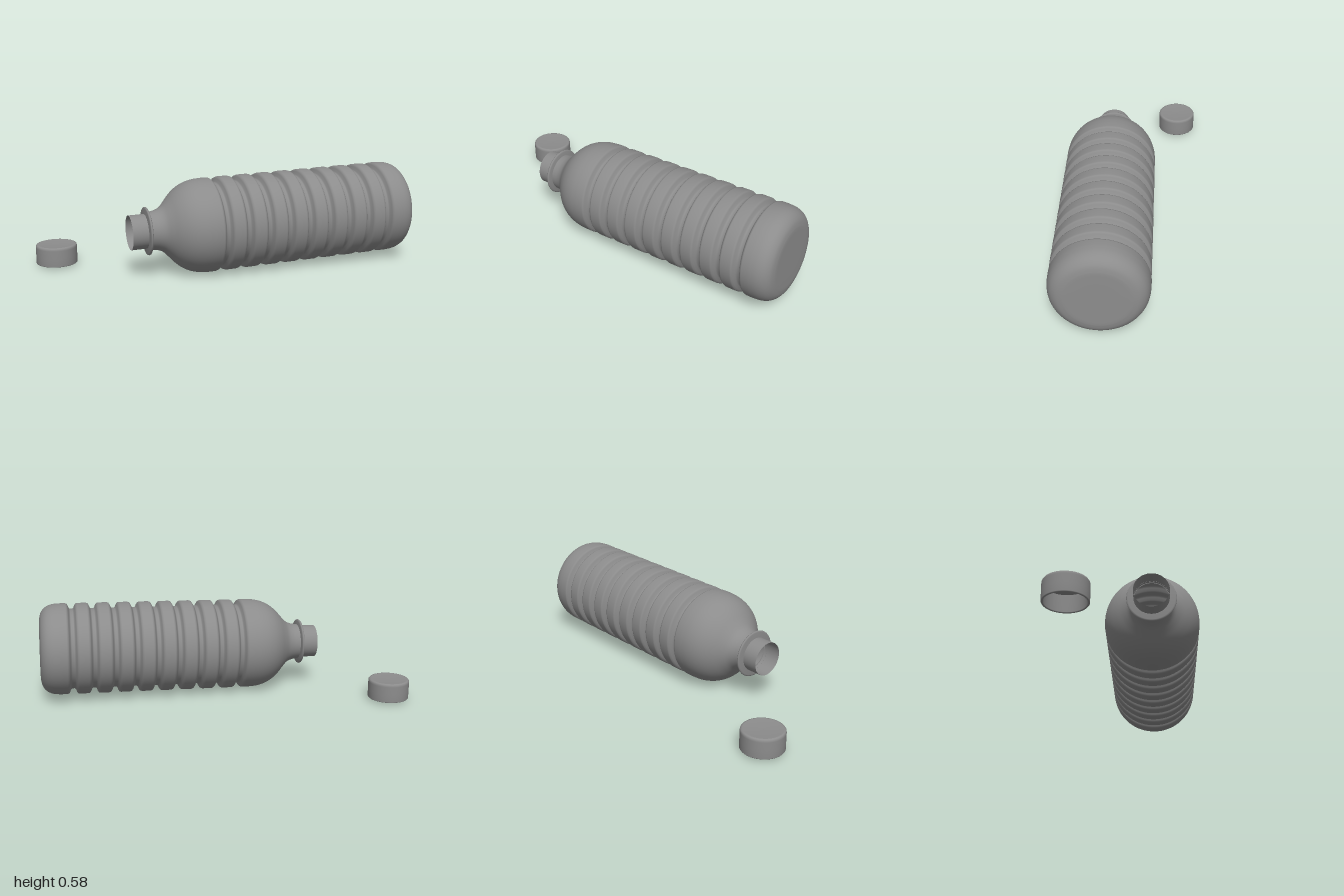
import * as THREE from 'three';

const v2 = (x, y) => new THREE.Vector2(x, y);

// Smooth curve through [radius, height] pairs
const smooth = (pts, n) => new THREE.SplineCurve(pts.map(p => v2(...p))).getPoints(n);

export function createModel() {
  const model = new THREE.Group();
  const grey = new THREE.MeshStandardMaterial({ color: 0x8c8c8c, side: THREE.DoubleSide });
  grey.name = 'grey plastic';

  const lathe = (name, points, parent) => {
    const mesh = new THREE.Mesh(new THREE.LatheGeometry(points, 72), grey);
    mesh.name = name;
    parent.add(mesh);
  };

  // Bottle lies on its side; local y runs from base to mouth
  const bottle = new THREE.Group();
  bottle.name = 'bottle';
  const axis = new THREE.Vector3(-0.36, -0.0215, 0.933).normalize();
  bottle.quaternion.setFromUnitVectors(new THREE.Vector3(0, 1, 0), axis);
  bottle.position.set(0.52, 0.307, -0.93);
  model.add(bottle);

  // Flat base with a rounded edge
  const R = 0.279;
  const body = [v2(0, 0), v2(0.1, 0), v2(0.165, 0)];
  body.push(...smooth([[0.185, 0.001], [0.225, 0.011], [0.257, 0.037], [0.274, 0.075], [R, 0.12]], 16));

  // Ring grooves along the barrel
  const grooves = 9, first = 0.195, pitch = 0.1275;
  const groove = [[0, -0.036], [0.003, -0.027], [0.012, -0.021], [0.028, -0.015], [0.034, -0.008],
    [0.034, 0.008], [0.028, 0.015], [0.012, 0.021], [0.003, 0.027], [0, 0.036]];
  for (let i = 0; i < grooves; i++) {
    for (const [depth, dy] of groove) body.push(v2(R - depth, first + i * pitch + dy));
  }

  // Domed shoulder flowing into the neck
  body.push(...smooth([[R, 1.29], [0.275, 1.34], [0.262, 1.39], [0.239, 1.435], [0.206, 1.475],
    [0.165, 1.512], [0.134, 1.543], [0.118, 1.575], [0.112, 1.605], [0.11, 1.63]], 36));
  lathe('bottleBody', body, bottle);

  // Open mouth
  lathe('neck', [v2(0.101, 1.625), v2(0.101, 1.735)], bottle);

  // Thin collar around the neck
  lathe('neckCollar', [v2(0.1, 1.62), v2(0.132, 1.625), v2(0.139, 1.628), v2(0.141, 1.633),
    v2(0.139, 1.638), v2(0.132, 1.64), v2(0.1, 1.643)], bottle);

  // Screw cap: hollow underneath, rounded top rim, slightly dished top
  const cap = new THREE.Group();
  cap.name = 'cap';
  cap.position.set(-0.63, 0.013, 0.87);
  model.add(cap);
  lathe('capWall', [v2(0.111, 0.1), v2(0.111, 0.004), v2(0.113, 0), v2(0.12, 0), v2(0.123, 0.004),
    v2(0.123, 0.05), v2(0.123, 0.1), v2(0.122, 0.109), v2(0.118, 0.115), v2(0.11, 0.117)], cap);
  lathe('capTop', [v2(0.11, 0.117), v2(0.095, 0.116), v2(0.06, 0.113), v2(0, 0.112)], cap);
  lathe('capInside', [v2(0, 0.1), v2(0.111, 0.1)], cap);

  return model;
}
